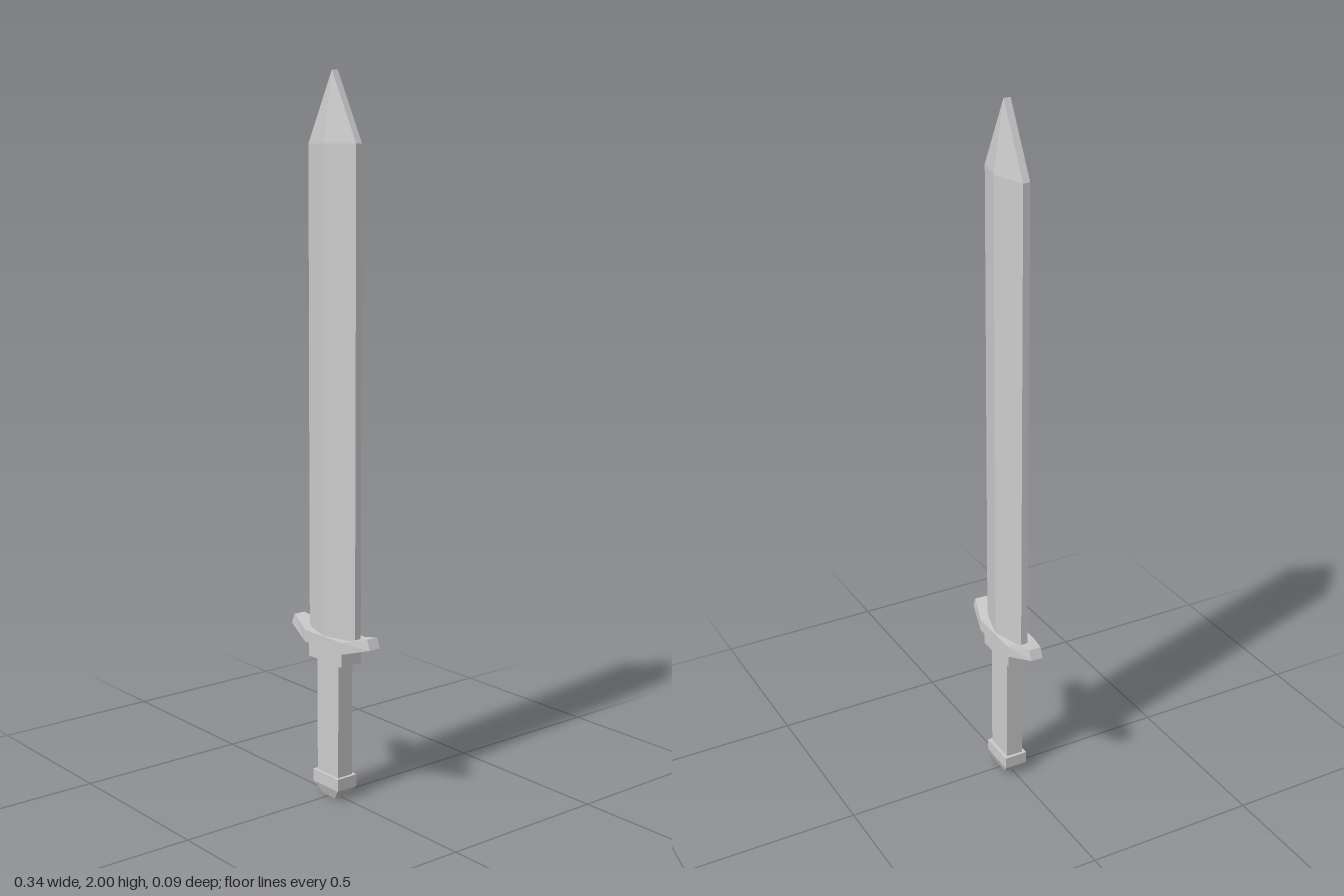
import * as THREE from 'three';

const material = new THREE.MeshStandardMaterial({ color: 0xcccccc, flatShading: true });

// Skins a list of equal-length rings of [x, y, z] points and caps both ends.
function loft(rings) {
  const out = [];
  const tri = (a, b, c) => out.push(...a, ...b, ...c);
  const n = rings[0].length;
  for (let r = 0; r < rings.length - 1; r++) {
    for (let i = 0; i < n; i++) {
      const j = (i + 1) % n;
      const [lo, hi] = [rings[r], rings[r + 1]];
      tri(lo[i], hi[i], lo[j]);
      tri(lo[j], hi[i], hi[j]);
    }
  }
  const first = rings[0], last = rings[rings.length - 1];
  for (let i = 1; i < n - 1; i++) {
    tri(first[0], first[i], first[i + 1]);
    tri(last[0], last[i + 1], last[i]);
  }
  const geometry = new THREE.BufferGeometry();
  geometry.setAttribute('position', new THREE.Float32BufferAttribute(out, 3));
  geometry.computeVertexNormals();
  return geometry;
}

// Six-sided blade section: blunt edges and a central ridge on each face.
const bladeRing = (y, halfWidth, ridge, edge = 0.01) => [
  [halfWidth, y, edge], [0, y, ridge], [-halfWidth, y, edge],
  [-halfWidth, y, -edge], [0, y, -ridge], [halfWidth, y, -edge],
];

// Rectangular section lying flat at height y.
const boxRing = (y, x, z) => [[x, y, z], [-x, y, z], [-x, y, -z], [x, y, -z]];

// Guard section across x; the top and bottom corners may sit at different x.
const guardRing = (xTop, yTop, xLow, yLow, z) => [
  [xTop, yTop, z], [xTop, yTop, -z], [xLow, yLow, -z], [xLow, yLow, z],
];

export function createModel() {
  const group = new THREE.Group();
  const add = (name, geometry) => {
    const mesh = new THREE.Mesh(geometry, material);
    mesh.name = name;
    group.add(mesh);
  };

  // Blade with straight edges and a pointed tip
  add('blade', loft([
    bladeRing(0.465, 0.1, 0.038),
    bladeRing(1.81, 0.1, 0.038),
    bladeRing(2, 0, 0.01),
  ]));

  // Crossguard with upswept, tapering arms
  add('guard', loft([
    guardRing(-0.16, 0.495, -0.172, 0.467, 0.018),
    guardRing(-0.08, 0.472, -0.08, 0.438, 0.043),
    guardRing(0.08, 0.472, 0.08, 0.438, 0.043),
    guardRing(0.16, 0.495, 0.172, 0.467, 0.018),
  ].map((ring) => ring)));

  // Collar below the guard
  add('collar', loft([boxRing(0.397, 0.072, 0.035), boxRing(0.44, 0.072, 0.035)]));

  // Rectangular grip
  add('grip', loft([boxRing(0.06, 0.046, 0.025), boxRing(0.4, 0.046, 0.025)]));

  // Pommel with a chamfered base
  add('pommel', loft([
    boxRing(0, 0.027, 0.022),
    boxRing(0.032, 0.055, 0.034),
    boxRing(0.067, 0.055, 0.034),
  ]));

  return group;
}
